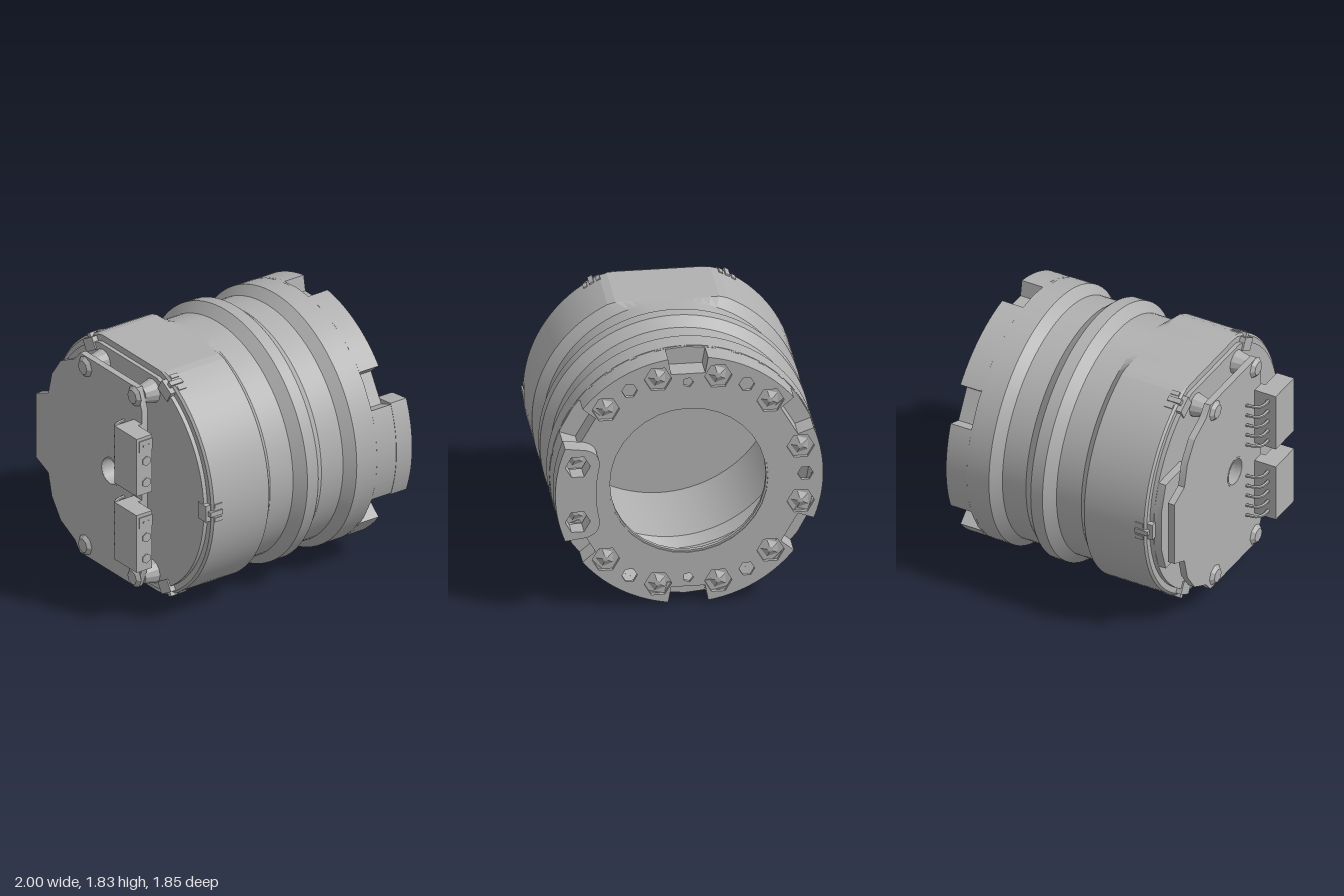
import * as THREE from 'three';
import { toCreasedNormals } from 'three/addons/utils/BufferGeometryUtils.js';

const R = 0.915, FLAT = 0.835, BORE = 0.092;
const rad = THREE.MathUtils.degToRad;

export function createModel() {
  const grey = new THREE.MeshStandardMaterial({ color: 0xb0b0b0 });
  grey.name = 'machined grey';
  const motor = new THREE.Group();
  motor.name = 'motorHousing';
  motor.position.y = 0.917;

  const add = (name, geo, crease = 0.4) => {
    const mesh = new THREE.Mesh(toCreasedNormals(geo, crease), grey);
    mesh.name = name;
    motor.add(mesh);
    return mesh;
  };
  // Shapes use (u, v) = (-z, y) and are extruded along x
  const slab = (name, shape, x0, x1) => {
    const g = new THREE.ExtrudeGeometry(shape, { depth: x1 - x0, bevelEnabled: false, curveSegments: 16 });
    g.translate(0, 0, x0);
    g.rotateY(Math.PI / 2);
    return add(name, g);
  };
  // Cylinder or cone along x
  const rod = (name, r0, r1, x0, x1, u, v, sides) => {
    const g = new THREE.CylinderGeometry(r1, r0, x1 - x0, sides);
    g.rotateZ(-Math.PI / 2);
    g.translate((x0 + x1) / 2, v, -u);
    return add(name, g);
  };
  const lathe = (points) => {
    const g = new THREE.LatheGeometry(points.map(([x, r]) => new THREE.Vector2(r, x)), 96);
    g.rotateZ(-Math.PI / 2);
    return g;
  };
  const box = (name, w, h, d, x, y, z) => {
    const g = new THREE.BoxGeometry(w, h, d);
    g.translate(x, y, z);
    return add(name, g);
  };
  const polar = (r, deg) => [r * Math.cos(rad(deg)), r * Math.sin(rad(deg))];
  const polygon = (pts) => new THREE.Shape(pts.map(([u, v]) => new THREE.Vector2(u, v)));
  const ngon = (u, v, r, n) => polygon(Array.from({ length: n }, (_, i) => {
    const [a, b] = polar(r, (i * 360) / n);
    return [u + a, v + b];
  }));
  const flatDisc = (r, h) => polygon(Array.from({ length: 96 }, (_, i) => {
    const [a, b] = polar(r, i * 3.75);
    return [a, Math.max(-h, Math.min(h, b))];
  }));
  // Circle with six straight-floored notches
  const notched = (r, floor, outerHalf, floorHalf) => {
    const s = new THREE.Shape();
    const half = Math.asin(outerHalf / r);
    for (let k = 0; k < 6; k++) {
      const a = rad(30 + 60 * k), c = Math.cos(a), n = Math.sin(a);
      for (const t of [-floorHalf, floorHalf]) {
        const p = [floor * c - t * n, floor * n + t * c];
        if (k === 0 && t < 0) s.moveTo(...p); else s.lineTo(...p);
      }
      s.absarc(0, 0, r, a + half, a + Math.PI / 3 - half, false);
    }
    s.closePath();
    return s;
  };

  // Hollow ribbed body with two flats on its rear part
  const body = lathe([
    [-0.66, BORE], [-0.66, 0.9], [-0.645, R], [-0.19, R], [-0.13, 0.848], [0.06, 0.848], [0.13, R],
    [0.22, R], [0.29, 0.855], [0.47, 0.855], [0.54, R], [0.69, R],
    [0.69, 0.86], [0.56, 0.86], [0.49, 0.81], [0.27, 0.81], [0.21, 0.86], [0.14, 0.86],
    [0.08, 0.8], [-0.6, 0.8], [-0.6, BORE], [-0.66, BORE]]);
  const pos = body.attributes.position;
  for (let i = 0; i < pos.count; i++) {
    if (pos.getX(i) < -0.1) pos.setY(i, THREE.MathUtils.clamp(pos.getY(i), -FLAT, FLAT));
  }
  add('body', body, 0.2);

  // Notched front rim, with pocket walls showing inside
  const pocketHole = () => notched(0.86, 0.765, 0.155, 0.14);
  const collar = new THREE.Shape().absarc(0, 0, R, 0, Math.PI * 2, false);
  collar.holes.push(pocketHole());
  const collarMesh = slab('rimCollar', collar, 0.69, 0.71);
  collarMesh.geometry.computeBoundingBox();
  const rim = notched(0.912, 0.79, 0.135, 0.115);
  rim.holes.push(pocketHole());
  slab('notchedRim', rim, 0.71, 0.845);

  // Front flange with its opening, screw holes and dowel holes
  const flange = notched(0.912, 0.79, 0.135, 0.115);
  flange.holes.push(new THREE.Path().absarc(0, 0, 0.54, 0, Math.PI * 2, true));
  for (let k = 0; k < 12; k++) {
    const [u, v] = polar(0.787, 15 + 30 * k);
    flange.holes.push(ngon(u, v, 0.093, 6));
    rod('screwSeat', 0.1, 0.1, 0.74, 0.838, u, v, 6);
    rod('screwHead', 0.065, 0.02, 0.838, 0.86, u, v, 5);
  }
  for (const a of [0, 60, 120, 180, 240, 300]) flange.holes.push(ngon(...polar(0.792, a), 0.053, 6));
  for (const a of [90, 270]) flange.holes.push(ngon(...polar(0.725, a), 0.037, 5));
  slab('flange', flange, 0.845, 0.87);
  const lip = new THREE.Shape().absarc(0, 0, 0.542, 0, Math.PI * 2, false);
  lip.holes.push(new THREE.Path().absarc(0, 0, 0.528, 0, Math.PI * 2, true));
  slab('openingLip', lip, 0.83, 0.862);

  // Raised bracket on the front edge of the flange
  const bracket = new THREE.Shape();
  bracket.absarc(0, 0, R, rad(158), rad(202), false);
  bracket.lineTo(-0.71, -0.325);
  bracket.quadraticCurveTo(-0.61, -0.3, -0.615, -0.2);
  bracket.quadraticCurveTo(-0.66, 0, -0.615, 0.2);
  bracket.quadraticCurveTo(-0.61, 0.3, -0.71, 0.325);
  bracket.closePath();
  for (const s of [-1, 1]) bracket.holes.push(ngon(-0.763, 0.204 * s, 0.085, 6));
  slab('bracket', bracket, 0.87, 1.0);

  // Rear cover, hub and clips
  const cover = flatDisc(0.86, 0.79);
  cover.holes.push(ngon(0, 0, BORE, 24));
  slab('rearCover', cover, -0.69, -0.66);
  add('hub', lathe([[-0.84, BORE], [-0.84, 0.105], [-0.79, 0.105], [-0.69, 0.13], [-0.69, BORE], [-0.84, BORE]]));
  slab('rearBlock', polygon([[0.5, -0.34], [0.79, -0.34], [0.85, -0.15], [0.85, 0.15], [0.79, 0.34], [0.5, 0.34]]),
    -0.745, -0.69);
  for (let k = 0; k < 6; k++) {
    const clip = new THREE.Group();
    clip.name = 'clip';
    clip.rotation.x = rad(60 * k);
    for (const [w, h, d, x, y] of [[0.1, 0.035, 0.06, -0.63, 0], [0.04, 0.12, 0.09, -0.68, 0],
      [0.06, 0.03, 0.05, -0.61, 0.05], [0.06, 0.03, 0.05, -0.61, -0.05]]) {
      const m = new THREE.Mesh(new THREE.BoxGeometry(w, h, d), grey);
      m.name = 'clipPiece';
      m.position.set(x, y, 0.895 - (x < -0.65 ? 0.045 : 0));
      clip.add(m);
    }
    motor.add(clip);
  }

  // Circuit board on standoffs
  const board = polygon([
    [-0.36, -0.6], [-0.3, -0.75], [0.34, -0.75], [0.4, -0.68], [0.56, -0.6], [0.66, -0.46], [0.7, -0.3],
    [0.84, -0.24], [0.84, 0.24], [0.7, 0.3], [0.66, 0.46], [0.56, 0.6], [0.4, 0.68], [0.34, 0.75],
    [-0.3, 0.75], [-0.36, 0.6]]);
  board.holes.push(ngon(0, 0, BORE, 24));
  slab('circuitBoard', board, -0.838, -0.79);
  for (const s of [-1, 1]) {
    for (const [u, v] of [[0.28, 0.67], [-0.28, 0.68]]) {
      rod('standoff', 0.06, 0.085, -0.79, -0.69, u, v * s, 12);
      rod('boardScrew', 0.05, 0.075, -0.862, -0.838, u, v * s, 8);
    }
  }

  // Two terminal connectors with screws, release slots and bent pins
  for (const y of [-0.287, 0.287]) {
    box('connector', 0.13, 0.43, 0.25, -0.935, y, 0.395);
    box('connectorFoot', 0.07, 0.43, 0.09, -0.835, y, 0.315);
    box('releaseTab', 0.11, 0.08, 0.008, -0.925, y + 0.15, 0.522);
    for (const dx of [-0.02, 0.02]) box('tabSlot', 0.012, 0.012, 0.006, -0.925 + dx, y + 0.15, 0.527);
    for (const dy of [-0.13, 0.03]) {
      const g = new THREE.CylinderGeometry(0.035, 0.035, 0.009, 6);
      g.rotateX(Math.PI / 2);
      g.translate(-0.92, y + dy, 0.523);
      add('terminalScrew', g);
    }
    for (let i = 0; i < 5; i++) {
      const py = y - 0.16 + 0.08 * i;
      const path = new THREE.CatmullRomCurve3([[-0.94, 0.28], [-0.935, 0.2], [-0.91, 0.17], [-0.83, 0.155]]
        .map(([x, z]) => new THREE.Vector3(x, py, z)));
      add('pin', new THREE.TubeGeometry(path, 8, 0.012, 6), 0.9);
    }
  }

  const model = new THREE.Group();
  model.name = 'model';
  model.add(motor);
  return model;
}
